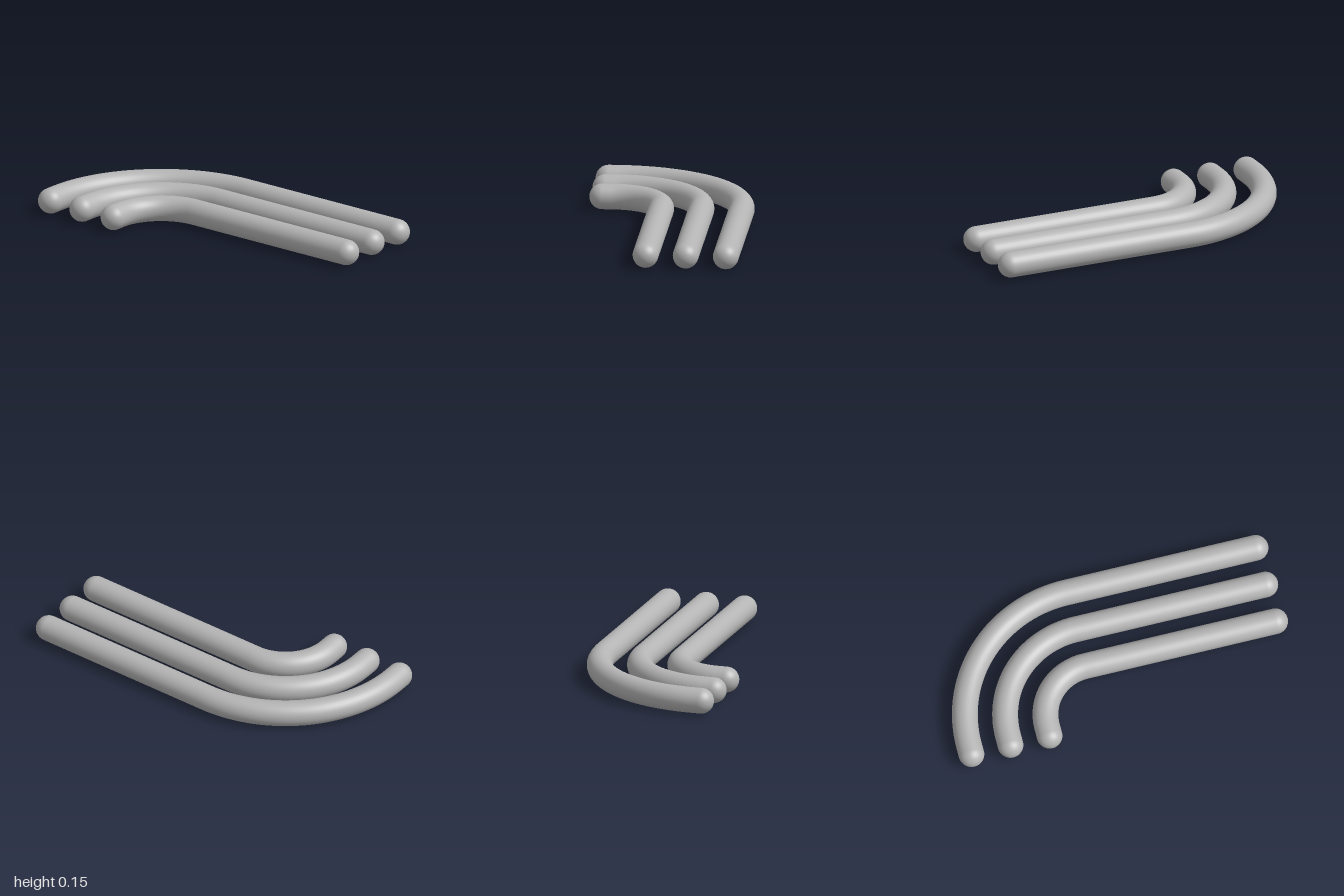
import * as THREE from 'three';

const RADIUS = 0.073;
const END_X = 0.927;    // centre of the rounded ends of the long runs
const END_Z = 0.405;    // centre of the rounded ends of the short runs
const BEND = { x: -0.175, z: 0.347 }; // shared centre of the three bends

// Flat path of one pipe: short run, quarter bend, long run
class PipeCurve extends THREE.Curve {
  constructor(bendRadius) {
    super();
    this.path = new THREE.Path();
    this.path.moveTo(BEND.x - bendRadius, END_Z);
    this.path.lineTo(BEND.x - bendRadius, BEND.z);
    this.path.absarc(BEND.x, BEND.z, bendRadius, Math.PI, Math.PI * 1.5, false);
    this.path.lineTo(END_X, BEND.z - bendRadius);
  }
  getPoint(t, target = new THREE.Vector3()) {
    const p = this.path.getPoint(t);
    return target.set(p.x, RADIUS, p.y);
  }
}

export function createModel() {
  const model = new THREE.Group();
  model.name = 'bentPipes';
  const grey = new THREE.MeshStandardMaterial({ color: 0xb4b4b4 });
  grey.name = 'grey';

  const addMesh = (parent, name, geometry) => {
    const mesh = new THREE.Mesh(geometry, grey);
    mesh.name = name;
    parent.add(mesh);
    return mesh;
  };
  const dome = () => new THREE.SphereGeometry(RADIUS, 32, 12, 0, Math.PI * 2, 0, Math.PI / 2);

  const pipes = [['innerPipe', 0.298], ['middlePipe', 0.525], ['outerPipe', 0.752]];
  for (const [name, bendRadius] of pipes) {
    const pipe = new THREE.Group();
    pipe.name = name;
    addMesh(pipe, 'tube', new THREE.TubeGeometry(new PipeCurve(bendRadius), 120, RADIUS, 32));
    // Rounded ends
    addMesh(pipe, 'longRunEnd', dome().rotateZ(-Math.PI / 2))
      .position.set(END_X, RADIUS, BEND.z - bendRadius);
    addMesh(pipe, 'shortRunEnd', dome().rotateX(Math.PI / 2))
      .position.set(BEND.x - bendRadius, RADIUS, END_Z);
    model.add(pipe);
  }
  return model;
}
